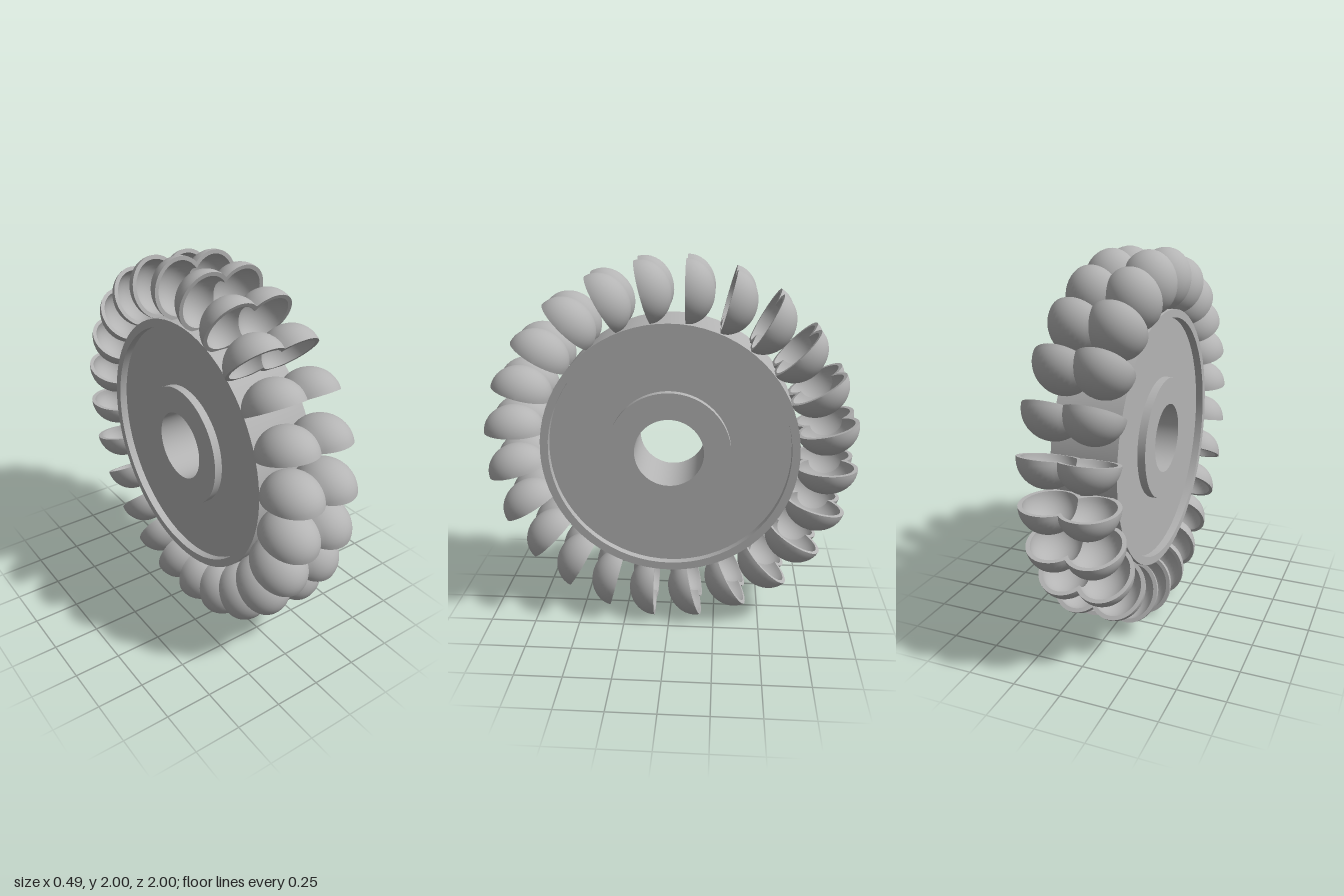
import * as THREE from 'three';
import { mergeGeometries, toCreasedNormals } from 'three/addons/utils/BufferGeometryUtils.js';

const BUCKETS = 24;
const CUP_X = 0.1;                       // cup centre, sideways from the wheel's mid plane
const OUTER = [0.146, 0.164, 0.145];     // half sizes: sideways, radial, depth
const WALL = 0.021;
const INNER = OUTER.map(v => v - WALL);

// Point on a half ellipsoid with its pole on the x axis, cut off at x = 0
function cupPoint(size, u, v) {
  const theta = u * Math.acos(-CUP_X / size[0]);
  const phi = v * Math.PI;
  return [
    CUP_X + size[0] * Math.cos(theta),
    size[1] * Math.sin(theta) * Math.cos(phi),
    -size[2] * Math.sin(theta) * Math.sin(phi),
  ];
}

// Grid surface from a point function; flip reverses the facing, mirror reflects in x
function gridSurface(fn, nu, nv, flip, mirror) {
  const pos = [], index = [];
  for (let i = 0; i <= nu; i++) {
    for (let j = 0; j <= nv; j++) {
      const [x, y, z] = fn(i / nu, j / nv);
      pos.push(mirror ? -x : x, y, z);
    }
  }
  for (let i = 0; i < nu; i++) {
    for (let j = 0; j < nv; j++) {
      const a = i * (nv + 1) + j, b = a + 1, c = a + nv + 1, d = c + 1;
      if (flip !== mirror) index.push(a, c, b, b, c, d);
      else index.push(a, b, c, b, d, c);
    }
  }
  const g = new THREE.BufferGeometry();
  g.setAttribute('position', new THREE.Float32BufferAttribute(pos, 3));
  g.setIndex(index);
  g.computeVertexNormals();
  return g;
}

// Twin-cup bucket: outer shells, inner shells and the flat lip, for both halves
function bucketGeometry() {
  const parts = [];
  const lip = v => (u, w) => {
    const o = cupPoint(OUTER, u, v), n = cupPoint(INNER, u, v);
    return o.map((c, k) => c + (n[k] - c) * w);
  };
  for (const mirror of [false, true]) {
    parts.push(gridSurface((u, v) => cupPoint(OUTER, u, v), 18, 20, false, mirror));
    parts.push(gridSurface((u, v) => cupPoint(INNER, u, v), 18, 20, true, mirror));
    parts.push(gridSurface(lip(0), 18, 1, true, mirror));
    parts.push(gridSurface(lip(1), 18, 1, false, mirror));
  }
  // Make each outer shell face away from its cup centre and each lip face +z
  parts.forEach((g, k) => {
    const kind = k % 4, side = k < 4 ? 1 : -1;
    const p = g.attributes.position, n = g.attributes.normal;
    let facing = 0;
    for (let i = 0; i < p.count; i++) {
      const out = (p.getX(i) - side * CUP_X) * n.getX(i) + p.getY(i) * n.getY(i) + p.getZ(i) * n.getZ(i);
      facing += kind === 0 ? out : kind === 1 ? -out : n.getZ(i);
    }
    if (facing < 0) {
      g.index.array.reverse();
      g.computeVertexNormals();
    }
  });
  return mergeGeometries(parts);
}

// Turned disc: rim, recessed web and hub on both faces, with a through bore
function discGeometry() {
  const half = 0.172, web = 0.13;
  const face = [[0.688, half], [0.645, half], [0.645, web], [0.328, web], [0.328, half], [0.185, half]];
  const lower = face.map(([r, y]) => [r, -y]).reverse();
  const profile = [...face, ...lower, face[0]].map(([r, y]) => new THREE.Vector2(r, y));
  const g = new THREE.LatheGeometry(profile, 72);
  g.rotateZ(-Math.PI / 2);
  return toCreasedNormals(g, 0.5);
}

export function createModel() {
  const steel = new THREE.MeshStandardMaterial({ color: 0xb4b4b4 });
  steel.name = 'steel grey';

  const wheel = new THREE.Group();
  wheel.name = 'turbineWheel';
  wheel.position.y = 1;

  const disc = new THREE.Mesh(discGeometry(), steel);
  disc.name = 'disc';
  wheel.add(disc);

  // Ring of buckets, each opening along the direction of travel
  const cups = bucketGeometry();
  for (let i = 0; i < BUCKETS; i++) {
    const arm = new THREE.Group();
    arm.name = 'bucketMount' + (i + 1);
    arm.rotation.x = (i / BUCKETS) * Math.PI * 2;
    const bucket = new THREE.Mesh(cups, steel);
    bucket.name = 'bucket';
    bucket.position.set(0, 0.836, -0.083);
    arm.add(bucket);
    wheel.add(arm);
  }

  const model = new THREE.Group();
  model.name = 'model';
  model.add(wheel);
  return model;
}
